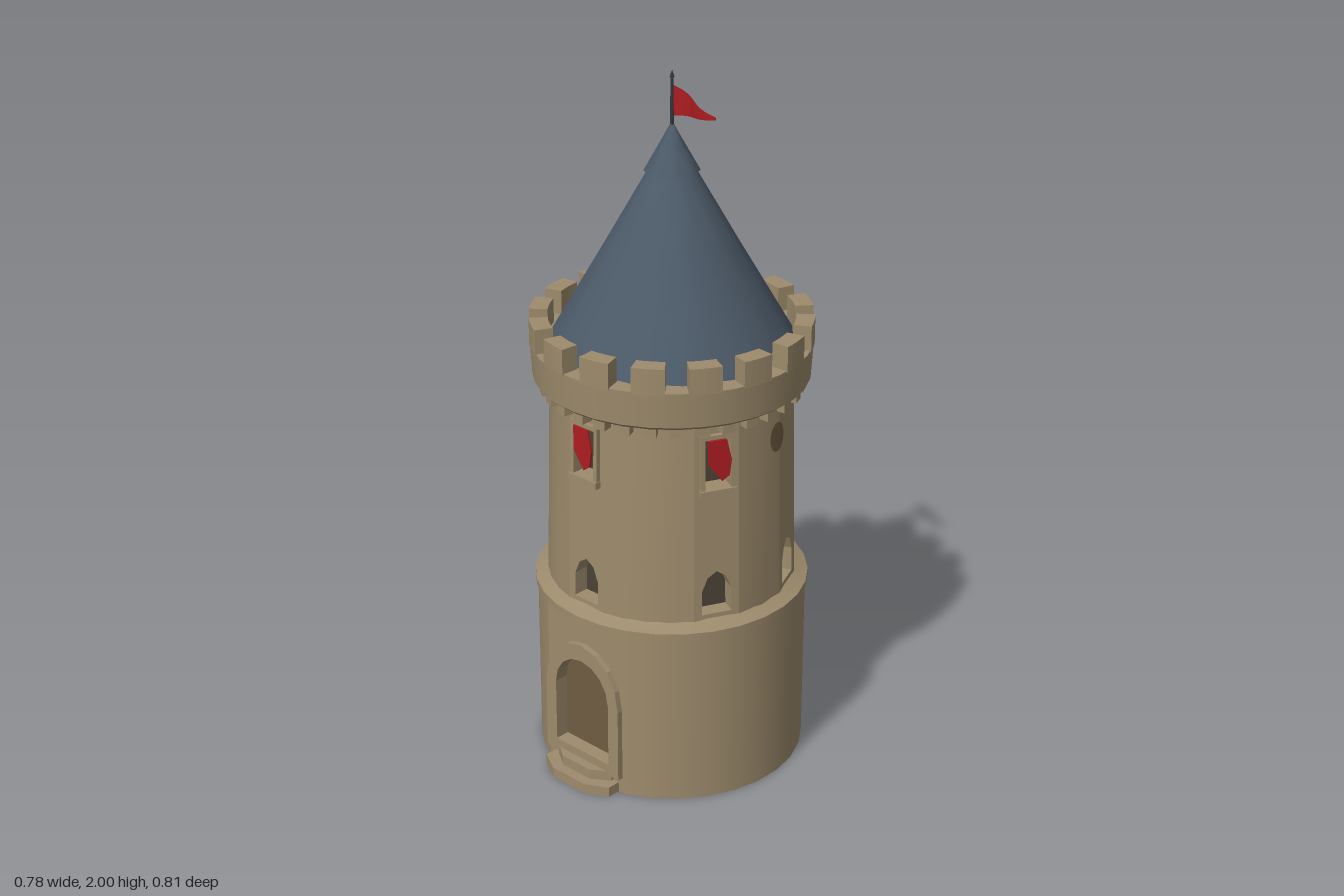
import * as THREE from 'three';

const mat = (name, color, side = THREE.FrontSide) => {
  const m = new THREE.MeshStandardMaterial({ color, side });
  m.name = name;
  return m;
};
const deg = THREE.MathUtils.degToRad;

export function createModel() {
  const stone = mat('stone', 0x9d8b6c);
  const slate = mat('slate', 0x4c5a68);
  const wood = mat('wood', 0x705d42);
  const dark = mat('darkOpening', 0x4a4335);
  const red = mat('redCloth', 0xab1c20, THREE.DoubleSide);
  const metal = mat('poleMetal', 0x34383e);

  const root = new THREE.Group();
  root.name = 'tower';
  const tower = new THREE.Group();
  tower.name = 'towerBody';
  tower.position.z = -0.015;
  root.add(tower);

  const add = (name, geo, material) => {
    const mesh = new THREE.Mesh(geo, material);
    mesh.name = name;
    tower.add(mesh);
    return mesh;
  };
  // The upper storey narrows slightly towards the top
  const taper = (geo) => {
    const p = geo.attributes.position;
    for (let i = 0; i < p.count; i++) {
      const s = 1.015 - 0.07 * (p.getY(i) - 0.54);
      p.setX(i, p.getX(i) * s);
      p.setZ(i, p.getZ(i) * s);
    }
    geo.computeVertexNormals();
    return geo;
  };
  const poly = (pts) => new THREE.Shape(pts.map(([x, y]) => new THREE.Vector2(x, y)));
  const rect = (w, y0, y1) => poly([[-w, y0], [w, y0], [w, y1], [-w, y1]]);
  const arch = (w, y0, spring, top) => {
    const pts = [[-w, y0], [w, y0]];
    for (let i = 0; i <= 8; i++) {
      const a = (i / 8) * Math.PI;
      pts.push([w * Math.cos(a), spring + (top - spring) * Math.sin(a)]);
    }
    return poly(pts);
  };
  // Flat slab whose front face lies at distance z from the axis, turned to an angle
  const slab = (shape, holes, z, depth, angle) => {
    shape.holes.push(...holes);
    return new THREE.ExtrudeGeometry(shape, { depth, bevelEnabled: false })
      .translate(0, 0, z - depth).rotateY(angle);
  };
  const arc = (r, y0, y1, a0, a1) => {
    const n = Math.max(2, Math.round((a1 - a0) / deg(12)));
    return new THREE.CylinderGeometry(r, r, y1 - y0, n, 1, true, a0, a1 - a0)
      .translate(0, (y0 + y1) / 2, 0);
  };

  // Lower storey: round wall with a flat front bay for the door
  const R = 0.38, bay = Math.asin(0.145 / R), front = R * Math.cos(bay);
  add('lowerWall', arc(R, 0, 0.52, bay, Math.PI * 2 - bay), stone);
  add('doorBay', slab(rect(0.145, 0, 0.52), [arch(0.102, 0.085, 0.275, 0.38)], front, 0.05, 0), stone);
  add('doorSurround', slab(arch(0.14, 0.05, 0.27, 0.43), [arch(0.102, 0.085, 0.275, 0.38)], front + 0.017, 0.02, 0), stone);
  add('door', slab(arch(0.104, 0.083, 0.275, 0.382), [], front - 0.025, 0.009, 0), wood);
  add('base', new THREE.CircleGeometry(R, 28).rotateX(Math.PI / 2), stone);

  // Door steps
  [[0.125, 0.03, 0.425], [0.105, 0.06, 0.395]].forEach(([w, h, z]) => {
    const s = poly([[-w, -0.3], [w, -0.3], [w, -z + 0.035], [w * 0.5, -z], [-w * 0.5, -z], [-w, -z + 0.035]].reverse());
    add('doorStep', new THREE.ExtrudeGeometry(s, { depth: h, bevelEnabled: false }).rotateX(-Math.PI / 2), stone);
  });

  // Moulding between the storeys
  const lathe = (pts, n) => new THREE.LatheGeometry(pts.map(([x, y]) => new THREE.Vector2(x, y)), n);
  add('bandEdge', arc(0.387, 0.516, 0.534, 0, Math.PI * 2), stone);
  add('bandUnderside', lathe([[0.37, 0.51], [0.387, 0.516]], 30), stone);
  add('bandTop', lathe([[0.387, 0.534], [0.365, 0.542], [0.34, 0.555]], 30), stone);

  // Upper storey: flat bays with openings, joined by curved wall
  const r = 0.345, half = Math.asin(0.065 / r), face = r * Math.cos(half);
  const bays = [[0, 1], [64, 1], [113, 0], [184, 1], [248, 0], [295, 0]];
  bays.forEach(([d, tall], i) => {
    const a = deg(d);
    const next = i + 1 < bays.length ? deg(bays[i + 1][0]) : Math.PI * 2;
    const low = () => poly([[-0.043, 0.565], [0.043, 0.565], [0.043, 0.635], [0.026, 0.675], [0, 0.692], [-0.026, 0.675], [-0.043, 0.635]]);
    const high = () => rect(0.038, 0.945, 1.09);
    add('upperWall', taper(arc(r, 0.53, 1.15, a + half, next - half)), stone);
    add('windowBay', taper(slab(rect(0.065, 0.53, 1.15), tall ? [low(), high()] : [low()], face, 0.05, a)), stone);
    add('archedOpening', taper(slab(rect(0.05, 0.555, 0.7), [], face - 0.045, 0.008, a)), dark);
    if (!tall) return;
    add('windowOpening', taper(slab(rect(0.045, 0.93, 1.1), [], face - 0.04, 0.008, a)), dark);
    add('windowFrame', taper(slab(rect(0.05, 0.932, 1.102), [high()], face + 0.014, 0.02, a)), stone);
    add('windowSill', taper(slab(rect(0.052, 0.925, 0.945), [], face + 0.02, 0.03, a)), stone);
    // Hanging cloth in the window
    const cloth = poly([[-0.033, 1.09], [0.022, 1.09], [0.036, 1.03], [0.03, 0.985], [0.008, 0.97], [-0.03, 1.02]]);
    add('windowBanner', taper(slab(cloth, [], face + 0.021, 0.006, a)), red);
  });

  // Small oval patch on the side wall
  const oval = new THREE.CircleGeometry(1, 16).scale(0.034, 0.043, 1).translate(0, 1.035, 0);
  const op = oval.attributes.position;
  for (let i = 0; i < op.count; i++) op.setZ(i, Math.sqrt(0.35 ** 2 - op.getX(i) ** 2));
  add('ovalPatch', taper(oval.rotateY(deg(99))), wood);

  // Crown: corbels, parapet and merlons
  for (let i = 0; i < 32; i++) {
    const g = new THREE.BoxGeometry(0.036, 0.04, 0.05).translate(0, 1.132, 0.34);
    add('corbel', g.rotateY((i / 32) * Math.PI * 2), stone);
  }
  add('parapetUnderside', lathe([[0.32, 1.135], [0.37, 1.14], [0.382, 1.15]], 32), stone);
  add('parapetOuter', lathe([[0.382, 1.15], [0.388, 1.25]], 32), stone);
  add('parapetTop', lathe([[0.388, 1.25], [0.325, 1.25]], 32), stone);
  for (let i = 0; i < 16; i++) {
    const c = deg(90 - 11.25 - i * 22.5), h = deg(6.6);
    const s = new THREE.Shape();
    s.absarc(0, 0, 0.389, c - h, c + h, false);
    s.absarc(0, 0, 0.338, c + h, c - h, true);
    const g = new THREE.ExtrudeGeometry(s, { depth: 0.075, bevelEnabled: false, curveSegments: 2 });
    add('merlon', g.rotateX(-Math.PI / 2).translate(0, 1.245, 0), stone);
  }

  // Conical roof with a slightly uneven eave, and a small cap
  const roof = lathe([[0.346, 1.235], [0.297, 1.32], [0.19, 1.505], [0.06, 1.735], [0.02, 1.79]], 15);
  add('roof', roof, slate);
  add('roofCapEdge', lathe([[0.05, 1.728], [0.076, 1.725]], 8), slate);
  add('roofCap', lathe([[0.076, 1.725], [0.035, 1.798], [0, 1.862]], 8), slate);

  // Flagpole and waving pennant
  add('flagpole', new THREE.CylinderGeometry(0.004, 0.006, 0.16, 6).translate(0, 1.91, 0), metal);
  add('flagpoleTip', new THREE.ConeGeometry(0.007, 0.02, 6).translate(0, 1.99, 0), metal);
  const flag = new THREE.PlaneGeometry(1, 1, 10, 1);
  const fp = flag.attributes.position;
  for (let i = 0; i < fp.count; i++) {
    const t = fp.getX(i) + 0.5, v = fp.getY(i) + 0.5;
    const top = 1.96 - 0.056 * t, bottom = 1.875 + 0.022 * t;
    fp.setXYZ(i, 0.155 * t, bottom + (top - bottom) * v, -0.01 * Math.sin(t * 6.3));
  }
  flag.computeVertexNormals();
  add('flag', flag, red);
  return root;
}
